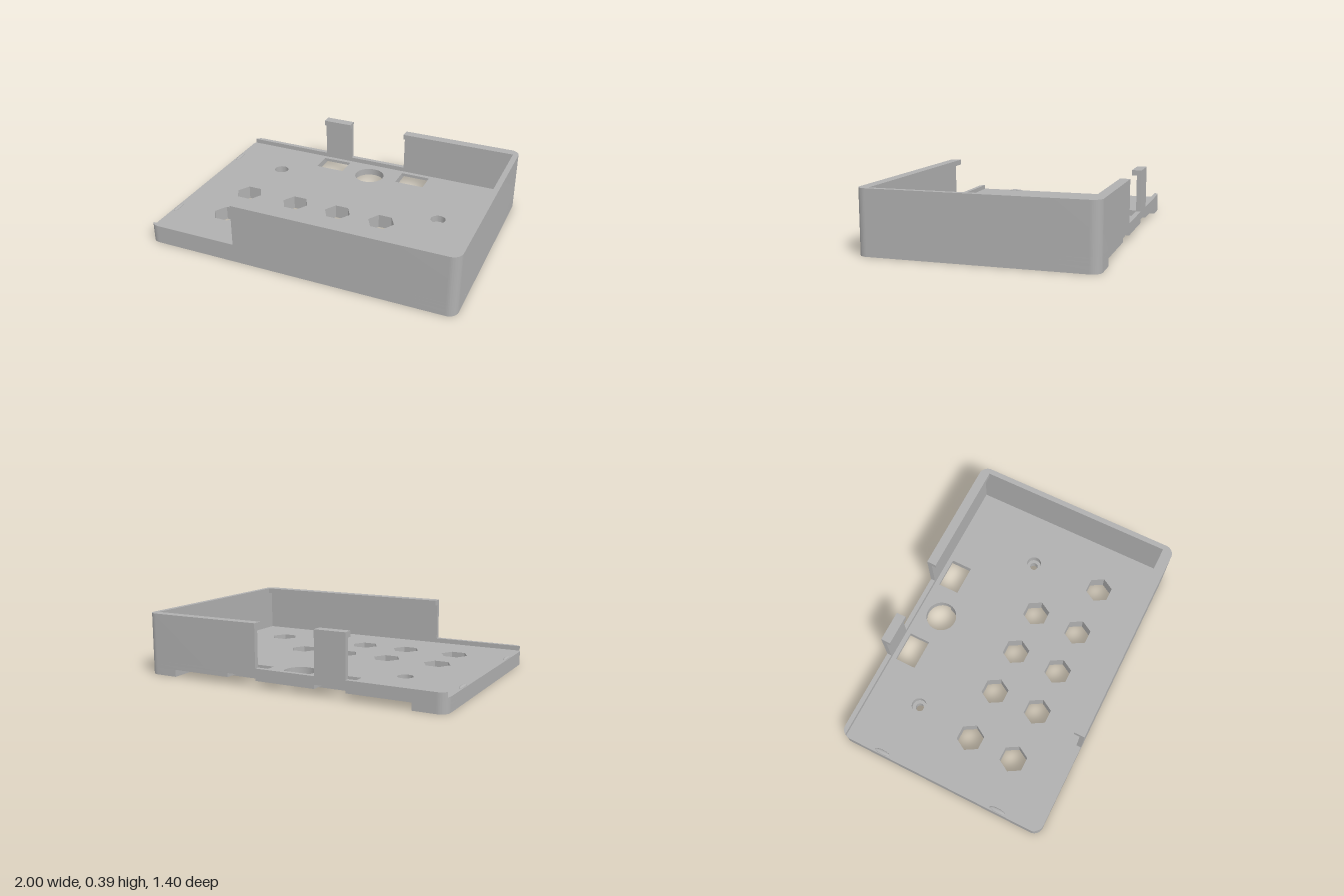
import * as THREE from 'three';
import { toCreasedNormals } from 'three/addons/utils/BufferGeometryUtils.js';

const X = 1, Z = 0.7, R = 0.06;        // half width, half depth, corner radius
const FLOOR = 0.09, LIP = 0.12, TOP = 0.39;

export function createModel() {
  const group = new THREE.Group();
  const grey = new THREE.MeshStandardMaterial({ color: 0xb0b0b0 });
  grey.name = 'plain grey';

  const add = (name, geometry) => {
    const mesh = new THREE.Mesh(geometry, grey);
    mesh.name = name;
    group.add(mesh);
    return mesh;
  };

  // Plan shapes use (x, -z); a slab is such a shape raised from y0 to y1.
  const slab = (name, shape, y0, y1) => {
    const geo = new THREE.ExtrudeGeometry(shape, { depth: y1 - y0, bevelEnabled: false, curveSegments: 16 });
    geo.rotateX(-Math.PI / 2).translate(0, y0, 0);
    return add(name, toCreasedNormals(geo, 0.5));
  };
  const box = (name, x0, x1, y0, y1, z0, z1) =>
    add(name, new THREE.BoxGeometry(x1 - x0, y1 - y0, z1 - z0)
      .translate((x0 + x1) / 2, (y0 + y1) / 2, (z0 + z1) / 2));

  const circle = (x, z, r) => new THREE.Path().absarc(x, -z, r, 0, Math.PI * 2, true);
  const polygon = (pts) => new THREE.Path(pts.map(([x, z]) => new THREE.Vector2(x, -z)));
  const hexagon = (x, z) => polygon([0, 1, 2, 3, 4, 5].map((i) =>
    [x + 0.088 * Math.cos(i * Math.PI / 3), z + 0.088 * Math.sin(i * Math.PI / 3)]));

  const hexes = [-0.65, -0.305, 0, 0.305].flatMap((x) => [[x, 0.045], [x, 0.35]]);
  hexes.push([0.65, 0.35]);
  const screws = [[-0.61, -0.35], [0.63, -0.13]];
  const portZ = -0.515, portR = 0.1, notchZ = -0.5;

  // Rounded floor outline; backEdge draws the notches along the back, from +x to -x
  const floorShape = (backEdge, screwRadius) => {
    const s = new THREE.Shape();
    s.moveTo(-X + R, -Z).lineTo(X - R, -Z);
    s.absarc(X - R, -Z + R, R, -Math.PI / 2, 0, false);
    s.absarc(X - R, Z - R, R, 0, Math.PI / 2, false);
    backEdge(s);
    s.absarc(-X + R, Z - R, R, Math.PI / 2, Math.PI, false);
    s.absarc(-X + R, -Z + R, R, Math.PI, Math.PI * 1.5, false);
    hexes.forEach(([x, z]) => s.holes.push(hexagon(x, z)));
    screws.forEach(([x, z]) => s.holes.push(circle(x, z, screwRadius)));
    return s;
  };

  // Bottom layer: one wide recess, with the round port biting into its edge
  const bite = Math.asin((notchZ - portZ) / portR);
  slab('floorBottom', floorShape((s) => {
    s.lineTo(0.8, Z).lineTo(0.8, -notchZ);
    s.absarc(0, -portZ, portR, -bite, -Math.PI + bite, true);
    s.lineTo(-0.8, -notchZ).lineTo(-0.8, Z);
  }, 0.026), 0, 0.045);

  // Middle layer: two deeper channels for the square openings
  const middle = floorShape((s) => {
    for (const x of [0.4, -0.2])
      s.lineTo(x, Z).lineTo(x, -notchZ).lineTo(x - 0.2, -notchZ).lineTo(x - 0.2, Z);
  }, 0.048);
  middle.holes.push(circle(0, portZ, portR));
  slab('floorMiddle', middle, 0.045, 0.07);

  // Top layer: square openings closed off by the back strip
  const top = floorShape(() => {}, 0.048);
  top.holes.push(circle(0, portZ, portR));
  for (const x of [-0.4, 0.2])
    top.holes.push(polygon([[x, -0.64], [x + 0.2, -0.64], [x + 0.2, notchZ], [x, notchZ]]));
  slab('floorTop', top, 0.07, FLOOR);

  // Tall wall: front, right end and part of the back
  const inX = 0.965, inZ = 0.67;
  const wall = new THREE.Shape();
  wall.moveTo(-0.4, -Z).lineTo(X - R, -Z);
  wall.absarc(X - R, -Z + R, R, -Math.PI / 2, 0, false);
  wall.absarc(X - R, Z - R, R, 0, Math.PI / 2, false);
  wall.lineTo(0.2, Z).lineTo(0.2, inZ).lineTo(inX, inZ).lineTo(inX, -inZ).lineTo(-0.4, -inZ);
  slab('tallWall', wall, FLOOR, TOP);

  // Inward rims along the top of the front and back walls
  box('frontRim', -0.4, inX, TOP - 0.035, TOP, 0.632, inZ);
  box('backRim', 0.2, inX, TOP - 0.035, TOP, -inZ, -0.638);

  // Free-standing back tab with its rim
  box('backTab', -0.4, -0.2, FLOOR, TOP, -Z, -inZ);
  box('backTabRim', -0.4, -0.2, TOP - 0.035, TOP, -inZ, -0.638);

  // Low kerbs on the open side, ending in the rounded corners
  const kerb = (side, name) => {
    const s = new THREE.Shape();
    const a = Math.asin((inZ - Z + R) / R);
    s.moveTo(-0.4, side * inZ).lineTo(-0.4, side * Z);
    s.absarc(-X + R, side * (Z - R), R, side * Math.PI / 2, side * (Math.PI - a), side < 0);
    slab(name, s, FLOOR, LIP);
  };
  kerb(-1, 'frontKerb');
  kerb(1, 'backKerb');
  box('middleKerb', -0.2, 0.2, FLOOR, LIP, -Z, -inZ);

  // Small catches at the open end
  for (const z of [-0.41, 0.405]) {
    const bump = add('catch', new THREE.SphereGeometry(1, 20, 8, 0, Math.PI * 2, 0, Math.PI / 2));
    bump.scale.set(0.014, 0.01, 0.053);
    bump.position.set(-0.982, FLOOR, z);
  }
  return group;
}
